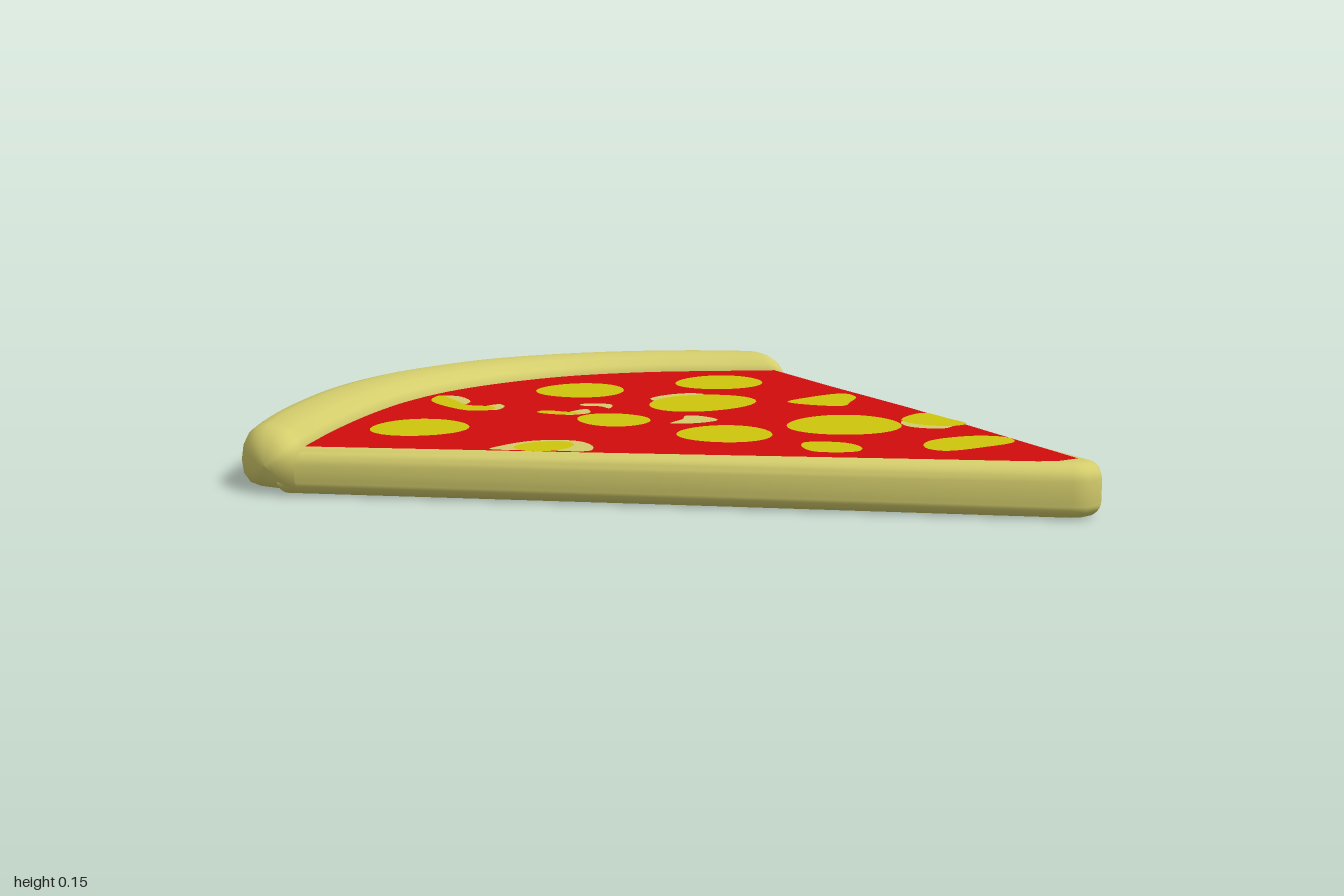
import * as THREE from 'three';
import { toCreasedNormals } from 'three/addons/utils/BufferGeometryUtils.js';

const mat = (name, color) => Object.assign(new THREE.MeshStandardMaterial({ color }), { name });

// plan points are [x, z]
const plan = (pts) => pts.map(([x, z]) => new THREE.Vector2(x, -z));
const curve = (pts, closed = false) =>
  new THREE.CatmullRomCurve3(pts.map(([x, z]) => new THREE.Vector3(x, 0, z)), closed);

// the slice rises gently towards its tip
function tilt(geo) {
  const p = geo.attributes.position;
  for (let i = 0; i < p.count; i++) {
    if (p.getY(i) > 0.06) p.setY(i, p.getY(i) + 0.013 * (p.getX(i) + 0.3));
  }
  geo.computeVertexNormals();
  return geo;
}

// thin flat plate lying on the slice
function plate(name, pts, y, material) {
  const geo = new THREE.ShapeGeometry(new THREE.Shape(plan(pts)));
  geo.rotateX(-Math.PI / 2).translate(0, y, 0);
  const m = new THREE.Mesh(tilt(geo), material);
  m.name = name;
  return m;
}
const smooth = (pts) => curve(pts, true).getPoints(pts.length * 5).slice(0, -1).map((p) => [p.x, p.z]);
const disc = (x, z, rx, rz) => Array.from({ length: 32 }, (_, i) => {
  const a = (i / 32) * Math.PI * 2;
  const w = 1 + 0.025 * Math.sin(3 * a + x * 9);
  return [x + rx * w * Math.cos(a), z + rz * w * Math.sin(a)];
});

// raised rim: one profile swept between an outer and an inner curve, with rounded ends
function crustGeometry(outer, inner) {
  const profile = [[1, 0.004], [0.32, 0.002], [0.14, 0.008], [0.03, 0.03], [0, 0.065], [0.03, 0.1],
    [0.12, 0.13], [0.25, 0.147], [0.4, 0.154], [0.6, 0.154], [0.76, 0.146], [0.89, 0.128], [1, 0.106]];
  const stations = [];
  const N = 48, E = 8;
  for (let k = E; k > 0; k--) stations.push([0, k / E, -0.075]);
  for (let i = 0; i <= N; i++) stations.push([i / N, 0, 0]);
  for (let k = 1; k <= E; k++) stations.push([1, k / E, 0.095]);
  const pos = [], idx = [], n = profile.length;
  stations.forEach(([u, k, reach], i) => {
    const o = outer.getPoint(u), q = inner.getPoint(u);
    const a = (k * Math.PI) / 2, s = Math.max(Math.cos(a), 0.001);
    const dir = outer.getTangent(u).add(inner.getTangent(u)).normalize();
    profile.forEach(([t, y], j) => {
      const p = o.clone().lerp(q, 0.5 + (t - 0.5) * s).addScaledVector(dir, reach * Math.sin(a));
      pos.push(p.x, 0.07 + (y - 0.07) * s, p.z);
      if (i + 1 < stations.length) {
        const A = i * n + j, B = i * n + ((j + 1) % n);
        idx.push(A, A + n, B, B, A + n, B + n);
      }
    });
  });
  const geo = new THREE.BufferGeometry();
  geo.setAttribute('position', new THREE.Float32BufferAttribute(pos, 3));
  geo.setIndex(idx);
  geo.computeVertexNormals();
  return geo;
}

export function createModel() {
  const group = new THREE.Group();
  group.name = 'pizzaSlice';
  const dough = mat('dough', 0xd4cd6c);
  const red = mat('sauce', 0xd20c0c);
  const yellow = mat('cheese', 0xcfc70c);

  // dough base with rounded edges
  const baseShape = new THREE.Shape(plan([
    [-0.53, -0.785], [0.2, -0.655], [0.925, -0.552], [0.945, -0.549], [0.957, -0.538], [0.958, -0.522], [0.948, -0.505],
    [0.3, 0.14], [-0.34, 0.785], [-0.45, 0.74], [-0.75, 0.4], [-0.88, 0], [-0.8, -0.45]]));
  const bt = 0.04;
  const baseGeo = new THREE.ExtrudeGeometry(baseShape,
    { depth: 0.113 - 2 * bt, bevelThickness: bt, bevelSize: 0.04, bevelSegments: 7, steps: 1 });
  baseGeo.rotateX(-Math.PI / 2).translate(0, bt, 0);
  const base = new THREE.Mesh(toCreasedNormals(tilt(baseGeo), 0.7), dough);
  base.name = 'base';
  group.add(base);

  // crust
  const outer = curve([[-0.67, -0.805], [-0.8, -0.66], [-0.9, -0.48], [-0.97, -0.27], [-1, -0.08], [-0.98, 0.1],
    [-0.93, 0.27], [-0.85, 0.43], [-0.75, 0.57], [-0.62, 0.72], [-0.51, 0.82]]);
  const innerPts = [[-0.5, -0.8], [-0.58, -0.69], [-0.69, -0.52], [-0.765, -0.33], [-0.785, -0.15], [-0.765, 0.05],
    [-0.7, 0.23], [-0.6, 0.4], [-0.45, 0.6], [-0.32, 0.75]];
  const inner = curve(innerPts);
  const crust = new THREE.Mesh(crustGeometry(outer, inner), dough);
  crust.name = 'crust';
  group.add(crust);

  // sauce layer
  const rim = inner.getPoints(40).map((p) => [p.x, p.z]);
  group.add(plate('sauce', [...rim, [-0.3, 0.77], [0.2, 0.275], [0.91, -0.44], [0.935, -0.48], [0.94, -0.535],
    [0.2, -0.69], [-0.2, -0.755], [-0.5, -0.81]], 0.116, red));

  // bare dough patches
  const patches = [
    [[-0.34, -0.37], [-0.3, -0.41], [-0.25, -0.35], [-0.27, -0.25], [-0.33, -0.265]],
    [[-0.065, -0.18], [-0.03, -0.205], [0.035, -0.2], [0.04, -0.14], [0, -0.08], [-0.03, -0.14]],
    [[-0.37, -0.075], [-0.32, -0.13], [-0.27, -0.09], [-0.31, -0.09], [-0.35, -0.06]],
    [[-0.3, -0.04], [-0.245, -0.01], [-0.26, 0.05], [-0.29, 0.02]],
    [[-0.7, 0.13], [-0.67, 0.105], [-0.58, 0.125], [-0.55, 0.17], [-0.64, 0.17]],
    [[-0.5, 0.09], [-0.46, 0.1], [-0.43, 0.15], [-0.48, 0.17]],
    [[-0.01, 0.41], [-0.015, 0.31], [0.05, 0.235], [0.13, 0.245], [0.175, 0.29], [0.09, 0.375], [0.01, 0.455]],
    [[0.32, -0.57], [0.45, -0.6], [0.47, -0.55], [0.41, -0.505], [0.35, -0.52]],
  ];
  patches.forEach((p, i) => group.add(plate(`doughPatch${i + 1}`, smooth(p), 0.118, dough)));

  // round cheese slices
  const discs = [[-0.41, -0.55, 0.113, 0.117], [-0.535, -0.19, 0.115, 0.115], [-0.33, 0.435, 0.117, 0.122],
    [-0.18, -0.315, 0.12, 0.145], [0.29, -0.39, 0.138, 0.14], [0.205, -0.09, 0.118, 0.113],
    [-0.12, 0.005, 0.1, 0.085], [0.068, 0.34, 0.06, 0.075]];
  discs.forEach((d, i) => group.add(plate(`cheeseRound${i + 1}`, disc(...d), 0.12, yellow)));

  // torn cheese pieces
  const pieces = [
    [[-0.065, -0.69], [-0.005, -0.68], [0.045, -0.62], [0.08, -0.565], [0.005, -0.505], [-0.055, -0.495], [-0.075, -0.57]],
    [[0.6, -0.54], [0.66, -0.58], [0.715, -0.55], [0.72, -0.46], [0.7, -0.35], [0.655, -0.335], [0.6, -0.37], [0.575, -0.43]],
    [[0.41, -0.17], [0.47, -0.235], [0.54, -0.23], [0.577, -0.185], [0.52, -0.11], [0.45, -0.125]],
    [[0.285, -0.655], [0.38, -0.647], [0.465, -0.63], [0.465, -0.58], [0.4, -0.535], [0.33, -0.54], [0.29, -0.6]],
    [[-0.7, 0.14], [-0.62, 0.15], [-0.53, 0.165], [-0.47, 0.13], [-0.43, 0.155], [-0.45, 0.205], [-0.55, 0.22], [-0.65, 0.2]],
    [[-0.34, 0.06], [-0.29, 0.03], [-0.25, 0.01], [-0.26, 0.06], [-0.33, 0.09]],
  ];
  pieces.forEach((p, i) => group.add(plate(`cheesePiece${i + 1}`, smooth(p), 0.12, yellow)));

  return group;
}
